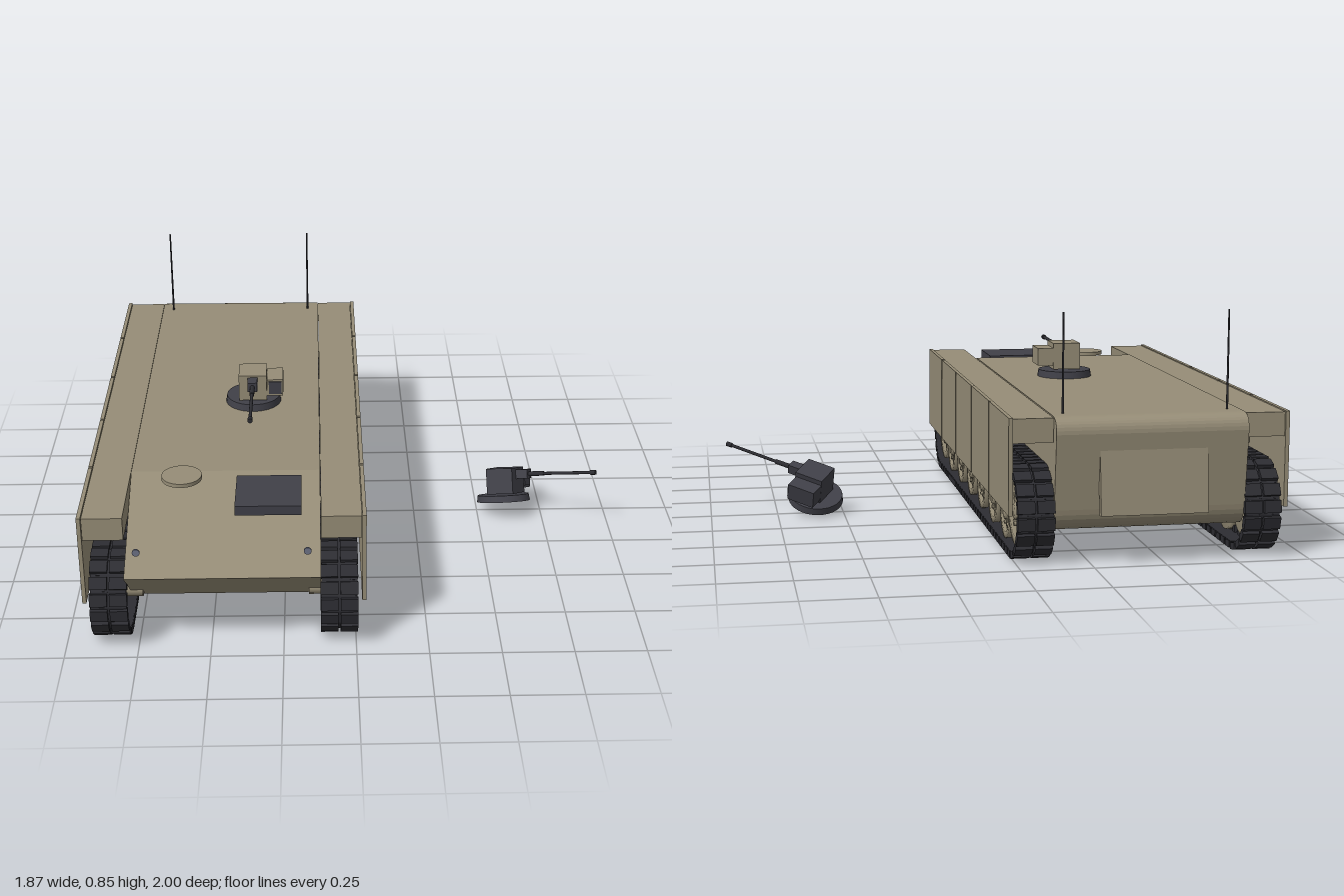
import * as THREE from 'three';
import { mergeGeometries } from 'three/addons/utils/BufferGeometryUtils.js';

const paint = (name, color) => Object.assign(new THREE.MeshStandardMaterial({ color }), { name });

// Box from a size and a centre
const box = (w, h, d, x = 0, y = 0, z = 0) => new THREE.BoxGeometry(w, h, d).translate(x, y, z);
// Cylinder along x
const axle = (r, len, x = 0, y = 0, z = 0, n = 24) =>
  new THREE.CylinderGeometry(r, r, len, n).rotateZ(Math.PI / 2).translate(x, y, z);
// Cylinder along z
const rod = (r, z0, z1, x, y, n = 12) =>
  new THREE.CylinderGeometry(r, r, z1 - z0, n).rotateX(Math.PI / 2).translate(x, y, (z0 + z1) / 2);

function part(parent, name, geometry, material) {
  const mesh = new THREE.Mesh(Array.isArray(geometry) ? mergeGeometries(geometry) : geometry, material);
  mesh.name = name;
  parent.add(mesh);
  return mesh;
}

export function createModel() {
  const tan = paint('sand paint', 0x968d77);
  const dark = paint('dark metal', 0x404048);
  const rubber = paint('track steel', 0x2d2d32);
  const glass = paint('lamp glass', 0x6d7286);
  const model = new THREE.Group();
  model.name = 'trackedCarrier';

  const vehicle = new THREE.Group();
  vehicle.name = 'vehicle';
  vehicle.position.x = -0.45;
  model.add(vehicle);

  // Hull: side profile (z, y) pulled across the width
  const profile = new THREE.Shape();
  profile.moveTo(0.6, 0.505);
  profile.lineTo(-0.92, 0.505);
  profile.quadraticCurveTo(-0.985, 0.505, -0.985, 0.45);
  profile.lineTo(-0.955, 0.19);
  profile.quadraticCurveTo(-0.945, 0.11, -0.87, 0.11);
  profile.lineTo(0.77, 0.11);
  profile.lineTo(1.0, 0.31);
  profile.closePath();
  const hull = new THREE.ExtrudeGeometry(profile, { depth: 0.66, bevelEnabled: false, curveSegments: 8 });
  part(vehicle, 'hull', hull.rotateY(-Math.PI / 2).translate(0.33, 0, 0), tan);

  // Rear ramp, leaning with the rear plate
  const ramp = part(vehicle, 'rearRamp', box(0.37, 0.295, 0.025), tan);
  ramp.position.set(-0.005, 0.32, -0.973);
  ramp.rotation.x = 0.1;

  // Roof fittings
  part(vehicle, 'driverHatch', new THREE.CylinderGeometry(0.07, 0.07, 0.014, 32).translate(-0.15, 0.513, 0.655), tan);
  part(vehicle, 'engineGrille', box(0.225, 0.035, 0.22, 0.153, 0.489, 0.75), dark);
  for (const s of [-1, 1]) {
    part(vehicle, 'antenna', new THREE.CylinderGeometry(0.003, 0.004, 0.345, 8).translate(s * 0.286, 0.673, -0.875), rubber);
    part(vehicle, 'headlamp', rod(0.013, 0.974, 0.98, s * 0.286, 0.4, 16), glass);
  }

  // Both sides: sponson, skirt panels and running gear
  for (const s of [-1, 1]) {
    const side = new THREE.Group();
    side.name = s > 0 ? 'leftSide' : 'rightSide';
    vehicle.add(side);
    part(side, 'sponson', box(0.137, 0.083, 1.87, s * 0.4, 0.46, -0.01), tan);
    const cuts = [0.935, 0.563, 0.183, -0.19, -0.573, -0.955];
    for (let i = 0; i < 5; i++) {
      const len = cuts[i] - cuts[i + 1], mid = (cuts[i] + cuts[i + 1]) / 2;
      part(side, 'skirtPanel', box(0.014, 0.33, len - 0.01, s * 0.477, 0.34, mid), tan);
      // Hinge tabs bridging the gap to the next panel
      if (i < 4) part(side, 'skirtHinge', [0.24, 0.315, 0.44].map(y => box(0.008, 0.03, 0.02, s * 0.475, y, cuts[i + 1])), tan);
    }
    const gear = runningGear(tan, rubber);
    gear.position.x = s * 0.392;
    gear.rotation.y = s > 0 ? 0 : Math.PI;
    if (s < 0) gear.scale.z = 1;
    side.add(gear);
  }

  // Roof weapon station
  const station = weaponStation(tan, dark, rubber);
  station.name = 'weaponStation';
  station.position.set(-0.368, 0.505, 0.025);
  model.add(station);

  // Spare weapon station lying tilted beside the vehicle
  const spare = weaponStation(dark, dark, rubber);
  spare.name = 'spareWeaponStation';
  const forward = new THREE.Vector3(0.84, 0.26, 0.47).normalize();
  const right = new THREE.Vector3(-0.04, 0.905, -0.42).cross(forward).normalize();
  const up = forward.clone().cross(right);
  spare.quaternion.setFromRotationMatrix(new THREE.Matrix4().makeBasis(right, up, forward));
  spare.position.set(0.603, 0.05, 0.02);
  model.add(spare);
  return model;
}

// Gun mount standing on its ring, pointing to +z
function weaponStation(body, base, barrel) {
  const g = new THREE.Group();
  part(g, 'mountRing', new THREE.CylinderGeometry(0.1, 0.104, 0.026, 32).translate(0, 0.013, 0), base);
  part(g, 'gunHousing', [
    box(0.104, 0.1, 0.112, 0, 0.08, 0.012),
    box(0.06, 0.066, 0.108, 0.083, 0.079, 0.01),
  ], body);
  part(g, 'sightWindow', box(0.048, 0.05, 0.006, 0.084, 0.08, 0.065), base);
  part(g, 'gunCradle', [box(0.036, 0.036, 0.05, 0, 0.105, 0.092)], base);
  part(g, 'barrel', [
    rod(0.009, 0.11, 0.18, 0, 0.105),
    rod(0.006, 0.18, 0.395, 0, 0.105),
    rod(0.009, 0.375, 0.397, 0, 0.105),
  ], barrel);
  return g;
}

// Track loop and wheels, outer side towards +x
function runningGear(tan, rubber) {
  const g = new THREE.Group();
  g.name = 'runningGear';

  // Wheel turned around its axle
  const wheel = r => {
    const pts = [[0, 0.036], [0.2, 0.036], [0.26, 0.028], [0.3, 0.014], [0.68, 0.014], [0.76, 0.032], [1, 0.032],
      [1, 0.01], [0.82, 0.01], [0.82, -0.01], [1, -0.01], [1, -0.032], [0, -0.032]];
    const lathe = new THREE.LatheGeometry(pts.map(([a, b]) => new THREE.Vector2(a * r, b)).reverse(), 32);
    const parts = [lathe.rotateZ(-Math.PI / 2)];
    // Ribs and hub bolts
    for (let i = 0; i < 6; i++) {
      const a = i * Math.PI / 3;
      parts.push(box(0.012, r * 0.48, r * 0.13, 0.018, r * 0.5, 0).rotateX(a));
      parts.push(axle(r * 0.07, 0.012, 0.024, r * 0.5, 0, 8).rotateX(a + Math.PI / 6));
    }
    return mergeGeometries(parts);
  };
  const road = wheel(0.09), end = wheel(0.118);
  for (let i = 0; i < 6; i++) {
    const z = 0.612 - i * 0.247;
    part(g, 'roadWheel', road, tan).position.set(0.012, 0.116, z);
    part(g, 'wheelAxle', axle(0.025, 0.1, -0.055, 0.116, z, 12), tan);
  }
  for (const z of [0.81, -0.81]) {
    part(g, 'endWheel', end, tan).position.set(0.012, 0.162, z);
    part(g, 'wheelAxle', axle(0.03, 0.1, -0.055, 0.162, z, 12), tan);
  }

  // Track links spaced along a stadium-shaped loop
  const R = 0.147, half = 0.81, straight = 2 * half, arc = Math.PI * R, total = 2 * (straight + arc);
  const count = 76, links = [];
  for (let i = 0; i < count; i++) {
    let d = (i + 0.5) / count * total, turn = 0;
    if (d > straight + arc) { d -= straight + arc; turn = Math.PI; }
    const bend = Math.max(0, d - straight) / R;
    const link = mergeGeometries([
      box(0.06, 0.024, 0.043, -0.034, 0.003, 0),
      box(0.06, 0.024, 0.043, 0.034, 0.003, 0),
      box(0.122, 0.012, 0.058, 0, -0.004, 0),
      box(0.01, 0.026, 0.022, 0, -0.022, 0),
    ]);
    link.translate(0, R, 0).rotateX(bend).translate(0, 0, Math.min(d, straight) - half);
    links.push(link.rotateX(turn).translate(0, 0.163, 0));
  }
  part(g, 'track', links, rubber);
  return g;
}
